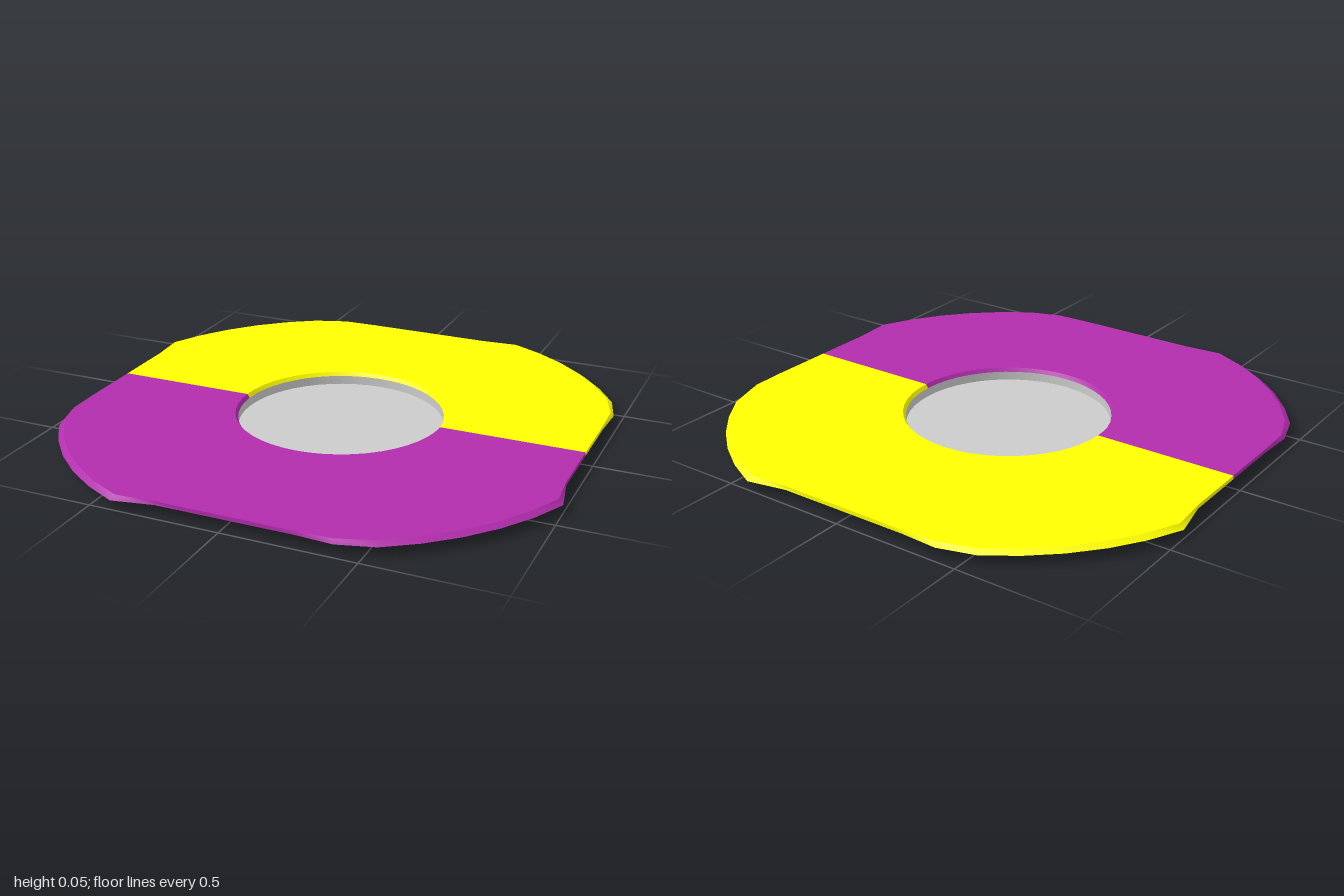
import * as THREE from 'three';
import { mergeGeometries } from 'three/addons/utils/BufferGeometryUtils.js';

const SEGMENTS = 48;
const TOP = 0.05, RIM = 0.035;
const WELL_R = 0.4;

// Outline radius: four round corners between flats, with a small tip leading each flat
function outline(i, round, tail) {
  const k = ((i % 12) + 12) % 12;
  if (k >= 3 && k <= 8) return round;
  if (k === 9) return tail;
  const offset = (k < 6 ? k : k - 12) * (2 * Math.PI / SEGMENTS);
  return 0.97 / Math.cos(offset);
}

// Half-turn surface between two rings; each ring is { r(i), y }
function strip(start, inner, outer) {
  const points = [], index = [];
  const half = SEGMENTS / 2;
  for (let n = 0; n <= half; n++) {
    const i = start + n, a = i * 2 * Math.PI / SEGMENTS;
    for (const ring of [inner, outer]) {
      points.push(Math.cos(a) * ring.r(i), ring.y, Math.sin(a) * ring.r(i));
    }
    if (n < half) {
      const b = n * 2;
      index.push(b, b + 2, b + 1, b + 1, b + 2, b + 3);
    }
  }
  const g = new THREE.BufferGeometry();
  g.setAttribute('position', new THREE.Float32BufferAttribute(points, 3));
  g.setIndex(index);
  g.computeVertexNormals();
  return g;
}

// Sheet half: sloped hole lip, flat top and sloped outer skirt, open underneath
function plateHalf(name, start, color) {
  const rings = [
    { r: () => WELL_R, y: RIM },
    { r: () => 0.41, y: TOP },
    { r: i => outline(i, 1.062, 1.045), y: TOP },
    { r: i => outline(i, 1.083, 1.058), y: RIM },
  ];
  const parts = [0, 1, 2].map(j => strip(start, rings[j], rings[j + 1]));
  const material = new THREE.MeshStandardMaterial({ color, side: THREE.DoubleSide });
  const mesh = new THREE.Mesh(mergeGeometries(parts), material);
  mesh.name = name;
  return mesh;
}

export function createModel() {
  const model = new THREE.Group();
  model.name = 'plateWithWell';

  model.add(plateHalf('frontPlateHalf', 0, 0xb22dad));
  model.add(plateHalf('backPlateHalf', SEGMENTS / 2, 0xffff00));

  // Shallow central well: open wall and thin floor
  const grey = new THREE.MeshStandardMaterial({ color: 0xcccccc, side: THREE.DoubleSide });
  const well = new THREE.Group();
  well.name = 'centralWell';
  const wall = new THREE.Mesh(
    new THREE.CylinderGeometry(WELL_R, WELL_R, RIM, SEGMENTS, 1, true).translate(0, RIM / 2, 0), grey);
  wall.name = 'wellWall';
  const floor = new THREE.Mesh(new THREE.CircleGeometry(WELL_R, SEGMENTS).rotateX(-Math.PI / 2), grey);
  floor.name = 'wellFloor';
  well.add(wall, floor);
  model.add(well);

  return model;
}
